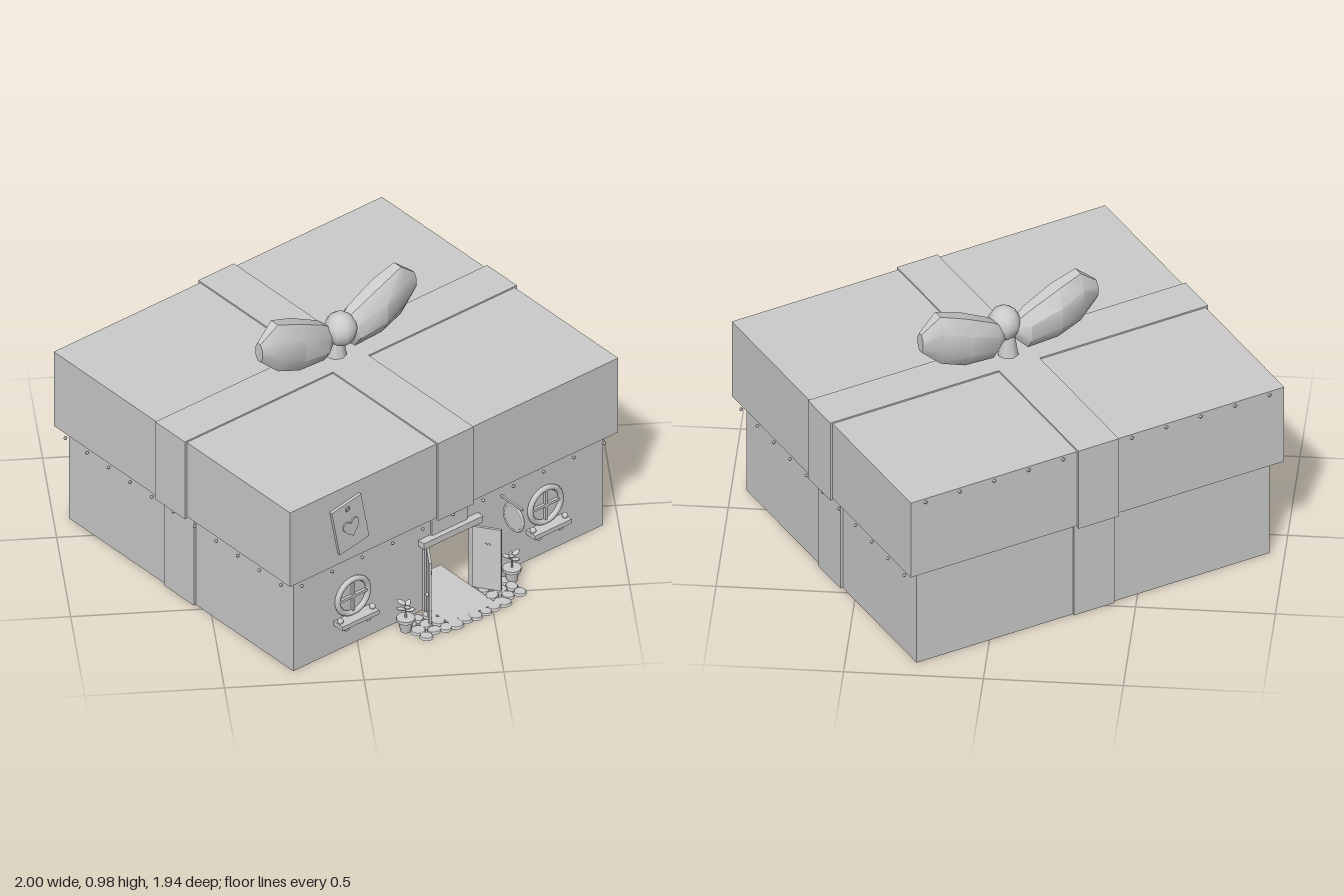
import * as THREE from 'three';
import { toCreasedNormals } from 'three/addons/utils/BufferGeometryUtils.js';

const grey = new THREE.MeshStandardMaterial({ color: 0xcccccc, side: THREE.DoubleSide });
grey.name = 'plain grey';

function add(parent, name, geometry, x = 0, y = 0, z = 0) {
  const mesh = new THREE.Mesh(geometry, grey);
  mesh.name = name;
  mesh.position.set(x, y, z);
  parent.add(mesh);
  return mesh;
}
const box = (w, h, d) => new THREE.BoxGeometry(w, h, d);

function rectangle(target, x0, y0, x1, y1) {
  target.moveTo(x0, y0);
  target.lineTo(x1, y0);
  target.lineTo(x1, y1);
  target.lineTo(x0, y1);
  target.closePath();
  return target;
}

// Small heart plate, s = half width
function heart(s) {
  const h = new THREE.Shape();
  h.moveTo(0, -s * 1.2);
  h.bezierCurveTo(-s * 0.4, -s * 0.7, -s, -s * 0.3, -s, s * 0.3);
  h.bezierCurveTo(-s, s, -s * 0.2, s, 0, s * 0.4);
  h.bezierCurveTo(s * 0.2, s, s, s, s, s * 0.3);
  h.bezierCurveTo(s, -s * 0.3, s * 0.4, -s * 0.7, 0, -s * 1.2);
  return new THREE.ExtrudeGeometry(h, { depth: 0.005, bevelEnabled: false, curveSegments: 6 });
}

// Bow loop lofted through eight-sided sections: [x, bottom, top, half depth]
function bowLoop(side) {
  const sections = [
    [0.02, 0.79, 0.85, 0.02], [0.07, 0.74, 0.89, 0.05], [0.19, 0.75, 0.95, 0.062],
    [0.285, 0.785, 0.985, 0.048], [0.357, 0.85, 0.925, 0.02],
  ];
  const n = 8, pos = [], idx = [];
  for (const [x, lo, hi, d] of sections) {
    for (let i = 0; i < n; i++) {
      const a = ((i + 0.5) / n) * Math.PI * 2;
      pos.push(side * x, (lo + hi) / 2 + Math.sin(a) * (hi - lo) * 0.54, Math.cos(a) * d * 1.08);
    }
  }
  const tri = (a, b, c) => (side > 0 ? idx.push(a, c, b) : idx.push(a, b, c));
  for (let s = 0; s < sections.length - 1; s++) {
    for (let i = 0; i < n; i++) {
      const j = (i + 1) % n, a = s * n, b = a + n;
      tri(a + i, b + i, b + j);
      tri(a + i, b + j, a + j);
    }
  }
  const last = (sections.length - 1) * n;
  for (let i = 1; i < n - 1; i++) {
    tri(0, i, i + 1);
    tri(last, last + i + 1, last + i);
  }
  const g = new THREE.BufferGeometry();
  g.setAttribute('position', new THREE.Float32BufferAttribute(pos, 3));
  g.setIndex(idx);
  return toCreasedNormals(g, 0.6);
}

function roundWindow() {
  const g = new THREE.Group();
  g.name = 'roundWindow';
  add(g, 'windowFrame', new THREE.TorusGeometry(0.071, 0.011, 8, 28));
  add(g, 'windowCrossbar', box(0.13, 0.01, 0.012));
  add(g, 'windowUpright', box(0.01, 0.13, 0.012));
  add(g, 'windowSill', box(0.17, 0.018, 0.05), 0, -0.085, 0.02);
  for (const s of [-1, 1]) {
    add(g, 'sillBracket', box(0.018, 0.022, 0.03), s * 0.05, -0.104, 0.015);
    add(g, 'sillKnob', new THREE.SphereGeometry(0.012, 8, 6), s * 0.074, -0.068, 0.02);
  }
  return g;
}

function pottedPlant() {
  const g = new THREE.Group();
  g.name = 'pottedPlant';
  add(g, 'pot', new THREE.CylinderGeometry(0.028, 0.02, 0.045, 14), 0, 0.0225, 0);
  add(g, 'potRim', new THREE.CylinderGeometry(0.034, 0.034, 0.012, 14), 0, 0.05, 0);
  add(g, 'stem', new THREE.CylinderGeometry(0.003, 0.004, 0.06, 6), 0, 0.08, 0);
  for (let i = 0; i < 5; i++) {
    const a = i * 2.4;
    const leaf = add(g, 'leaf', new THREE.SphereGeometry(0.02, 8, 6),
      Math.cos(a) * 0.018, 0.092 + i * 0.006, Math.sin(a) * 0.018);
    leaf.scale.set(1, 0.3, 0.55);
    leaf.rotation.set(0, -a, 0.35);
  }
  return g;
}

export function createModel() {
  const root = new THREE.Group();
  root.name = 'giftBoxHouse';
  const house = new THREE.Group();
  house.name = 'house';
  house.rotation.y = THREE.MathUtils.degToRad(34);
  root.add(house);

  const W = 0.718, D = 0.625, H = 0.4;          // body half width, half depth, height
  const LW = 0.76, LD = 0.658, TOP = 0.72;      // lid half width, half depth, top
  const T = 0.012;

  // Body walls, open below, with a doorway in front
  const front = new THREE.Shape([[-W, 0], [-0.105, 0], [-0.105, 0.285], [0.105, 0.285], [0.105, 0],
    [W, 0], [W, H], [-W, H]].map(p => new THREE.Vector2(...p)));
  add(house, 'frontWall', new THREE.ExtrudeGeometry(front, { depth: T, bevelEnabled: false }), 0, 0, D - T);
  add(house, 'backWall', box(2 * W, H, T), 0, H / 2, -D + T / 2);
  for (const s of [-1, 1]) add(house, 'sideWall', box(T, H, 2 * D - 2 * T), s * (W - T / 2), H / 2, 0);

  // Hollow lid
  const ring = rectangle(new THREE.Shape(), -LW, -LD, LW, LD);
  ring.holes.push(rectangle(new THREE.Path(), -W, -D, W, D));
  add(house, 'lidRim', new THREE.ExtrudeGeometry(ring, { depth: TOP - H - 0.01, bevelEnabled: false }), 0, H, 0)
    .rotation.x = -Math.PI / 2;
  add(house, 'lidTop', box(2 * LW, 0.01, 2 * LD), 0, TOP - 0.005, 0);

  // Ribbon bands over the lid and down the walls
  const R = 0.165, P = 0.009;
  add(house, 'ribbonTopAcross', box(2 * LW + 2 * P, 0.006, R), 0, TOP + 0.003, 0);
  add(house, 'ribbonTopAlong', box(R, 0.006, 2 * LD + 2 * P), 0, TOP + 0.003, 0);
  for (const s of [-1, 1]) {
    add(house, 'lidRibbonSide', box(P, TOP - H + 0.008, R), s * (LW + P / 2), (TOP + H) / 2 - 0.004, 0);
    add(house, 'lidRibbonFace', box(R, TOP - H + 0.008, P), 0, (TOP + H) / 2 - 0.004, s * (LD + P / 2));
    add(house, 'bodyRibbonSide', box(P, H, R), s * (W + P / 2), H / 2, 0);
  }
  add(house, 'bodyRibbonBack', box(R, H, P), 0, H / 2, -D - P / 2);
  add(house, 'bodyRibbonFront', box(R, H - 0.31, P), 0, (H + 0.31) / 2, D + P / 2);

  // Bow
  const bow = new THREE.Group();
  bow.name = 'bow';
  house.add(bow);
  for (const s of [-1, 1]) add(bow, 'bowLoop', bowLoop(s));
  add(bow, 'bowKnot', new THREE.SphereGeometry(0.063, 10, 8), 0.003, 0.845, 0.022).scale.set(0.95, 1.05, 1);
  add(bow, 'bowBase', new THREE.CylinderGeometry(0.025, 0.04, 0.09, 8), 0, 0.765, 0);

  // Studs below the lid, and along the top edge of the back
  const stud = new THREE.OctahedronGeometry(0.009);
  for (let i = 0; i < 11; i++) {
    const k = (i - 5) / 5;
    add(house, 'stud', stud, k * 0.7, 0.375, LD - 0.006);
    add(house, 'stud', stud, k * 0.7, TOP - 0.015, -LD);
    for (const s of [-1, 1]) add(house, 'stud', stud, s * (LW - 0.006), 0.375, k * 0.6);
  }

  // Doorway: lintel, jambs and two leaves swung outwards
  add(house, 'lintel', box(0.275, 0.026, 0.035), 0, 0.297, D + 0.012);
  for (const s of [-1, 1]) {
    add(house, 'doorJamb', box(0.016, 0.285, 0.025), s * 0.112, 0.1425, D);
    const hinge = new THREE.Group();
    hinge.name = 'doorLeaf';
    hinge.position.set(s * 0.105, 0, D + 0.012);
    hinge.rotation.y = s > 0 ? -0.964 : Math.PI + 0.964;
    house.add(hinge);
    add(hinge, 'doorPanel', box(0.105, 0.262, 0.01), 0.0525, 0.143, 0);
    add(hinge, 'doorHeart', heart(0.012), 0.055, 0.2, s > 0 ? 0.004 : -0.009);
    add(hinge, 'doorKnob', new THREE.SphereGeometry(0.007, 8, 6), 0.09, 0.13, -s * 0.01);
  }

  // Windows and potted plants either side of the door
  for (const s of [-1, 1]) {
    const w = roundWindow();
    w.position.set(s * 0.446, 0.21, D + 0.005);
    house.add(w);
    const p = pottedPlant();
    p.position.set(s * 0.246, 0, 0.684);
    p.rotation.y = s;
    house.add(p);
  }

  // Hanging oval sign
  const sign = add(house, 'hangingSign', new THREE.CylinderGeometry(0.054, 0.054, 0.008, 24), 0.245, 0.277, 0.695);
  sign.rotation.z = Math.PI / 2;
  const signRim = add(house, 'signRim', new THREE.TorusGeometry(0.052, 0.006, 6, 24), 0.245, 0.277, 0.695);
  signRim.rotation.y = Math.PI / 2;
  add(house, 'signBracket', box(0.008, 0.008, 0.12), 0.245, 0.335, D + 0.06);

  // Gift tag with a heart
  const tag = new THREE.Group();
  tag.name = 'giftTag';
  tag.position.set(-0.49, 0.557, LD + 0.006);
  tag.rotation.z = 0.19;
  house.add(tag);
  add(tag, 'tagCard', box(0.138, 0.2, 0.012));
  add(tag, 'tagHeart', heart(0.036), 0, -0.008, 0.006);
  add(tag, 'tagEyelet', new THREE.TorusGeometry(0.008, 0.003, 6, 12), 0, 0.075, 0.007);

  // Doorstep and stones around it
  add(house, 'doorstep', box(0.21, 0.008, 0.31), 0, 0.004, 0.61);
  const stone = new THREE.CylinderGeometry(0.023, 0.027, 0.009, 9);
  const place = (x, z, k) => {
    const m = add(house, 'pathStone', stone, x, 0.0045, z);
    m.rotation.y = k;
    m.scale.set(1 + 0.12 * Math.sin(k * 5), 1, 1 + 0.12 * Math.cos(k * 3));
  };
  for (const s of [-1, 1]) {
    for (let i = 0; i < 3; i++) {
      for (let j = 0; j < 3; j++) place(s * (0.125 + i * 0.046), 0.672 + j * 0.046 - (i % 2) * 0.012, i * 2 + j + s);
    }
  }
  for (let i = -3; i <= 3; i++) place(i * 0.044, 0.775 + (i % 2) * 0.006, i);

  return root;
}
